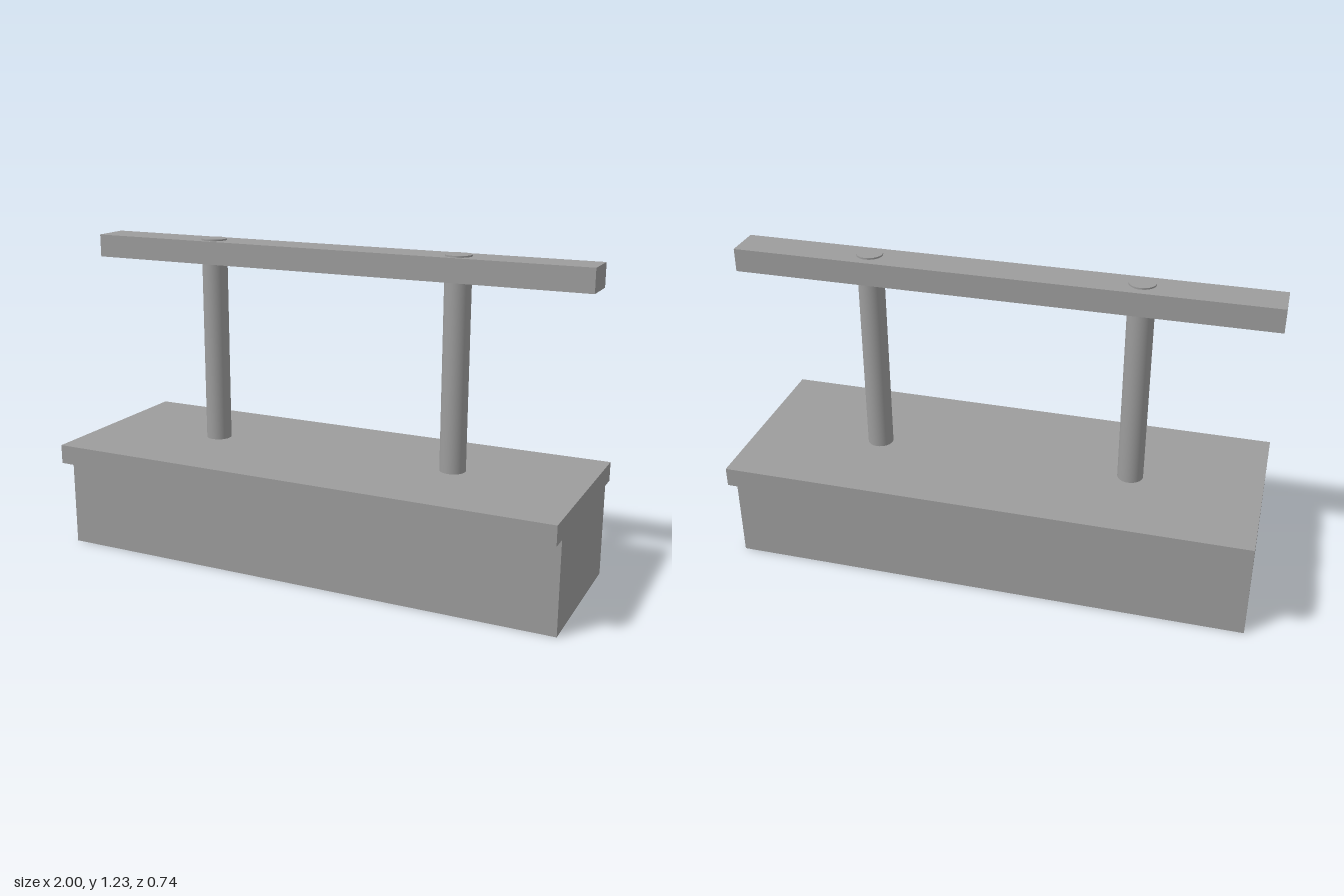
import * as THREE from 'three';

export function createModel() {
  const group = new THREE.Group();
  const material = new THREE.MeshStandardMaterial({ color: 0x9c9c9c });

  const add = (name, geometry, x, y, z) => {
    const mesh = new THREE.Mesh(geometry, material);
    mesh.name = name;
    mesh.position.set(x, y, z);
    group.add(mesh);
  };
  // Full-length beam given by its bottom, top, back and front
  const beam = (name, y0, y1, z0, z1) =>
    add(name, new THREE.BoxGeometry(2, y1 - y0, z1 - z0), 0, (y0 + y1) / 2, (z0 + z1) / 2);

  // Base block with an overhanging slab
  beam('base', 0, 0.353, -0.3, 0.3);
  beam('slab', 0.353, 0.427, -0.368, 0.368);

  // Top rail, set slightly back
  beam('rail', 1.133, 1.221, -0.095, 0.048);

  // Round posts, passing just through the rail
  const bottom = 0.427, top = 1.227;
  for (const [name, x] of [['rightPost', -0.504], ['leftPost', 0.498]]) {
    add(name, new THREE.CylinderGeometry(0.049, 0.049, top - bottom, 32), x, (bottom + top) / 2, -0.014);
  }
  return group;
}
